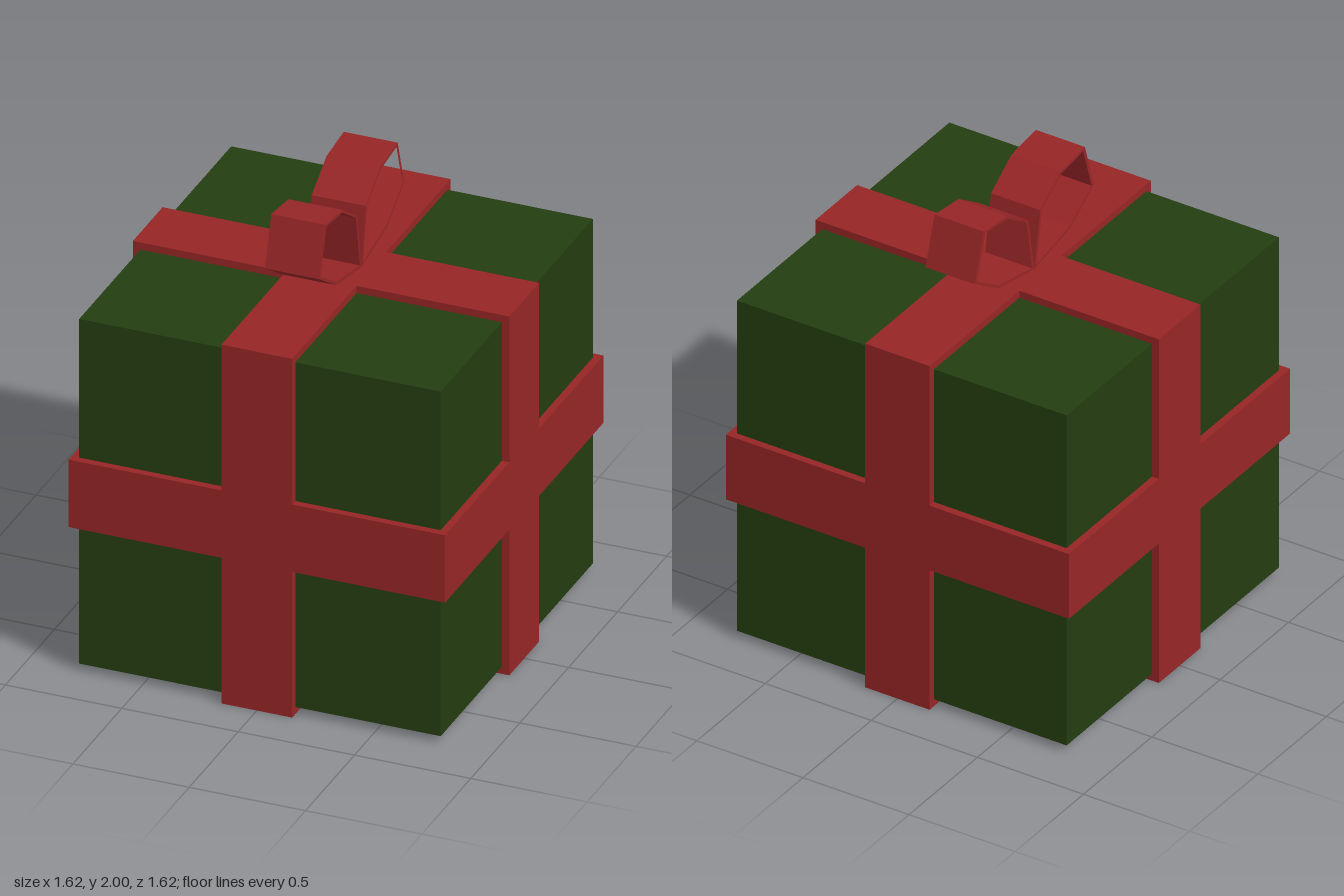
import * as THREE from 'three';

export function createModel() {
  const model = new THREE.Group();
  model.name = 'giftBox';

  const green = new THREE.MeshStandardMaterial({ color: 0x243d10 });
  green.name = 'wrapping green';
  const red = new THREE.MeshStandardMaterial({ color: 0x962526 });
  red.name = 'ribbon red';

  const centreY = 0.811, boxSize = 1.554, bandSize = 1.618, bandWidth = 0.304;

  const add = (name, geometry, material, x, y, z) => {
    const mesh = new THREE.Mesh(geometry, material);
    mesh.name = name;
    mesh.position.set(x, y, z);
    model.add(mesh);
  };

  // Wrapped box
  add('box', new THREE.BoxGeometry(boxSize, boxSize, boxSize), green, 0, centreY, 0);

  // One ribbon band around each axis
  ['sideToSideRibbon', 'waistRibbon', 'frontToBackRibbon'].forEach((name, i) => {
    const size = [
      [bandSize, bandSize, bandWidth],
      [bandSize, bandWidth, bandSize],
      [bandWidth, bandSize, bandSize],
    ][i];
    add(name, new THREE.BoxGeometry(...size), red, 0, centreY, 0);
  });

  // Bow loop: a thin faceted ring, outlined as (distance from the knot, height)
  const outline = [
    [0, 1.624], [0.262, 1.674], [0.436, 1.788],
    [0.37, 2.0], [0.194, 1.979], [0.043, 1.878],
  ].map(([u, v]) => new THREE.Vector2(u, v));
  const middle = new THREE.Vector2(0.215, 1.835);
  const inset = outline.map((p) => p.clone().sub(middle).multiplyScalar(0.92).add(middle));
  const bowWidth = 0.232;

  for (const side of [1, -1]) {
    const flip = (p) => new THREE.Vector2(p.x * side, p.y);
    const shape = new THREE.Shape(outline.map(flip));
    shape.holes.push(new THREE.Path(inset.map(flip)));
    const loop = new THREE.ExtrudeGeometry(shape, { depth: bowWidth, bevelEnabled: false });
    loop.translate(0, 0, -bowWidth / 2);
    loop.rotateY(-Math.PI / 2);
    add(side > 0 ? 'frontBowLoop' : 'backBowLoop', loop, red, -0.003, 0, 0.008);
  }

  return model;
}
